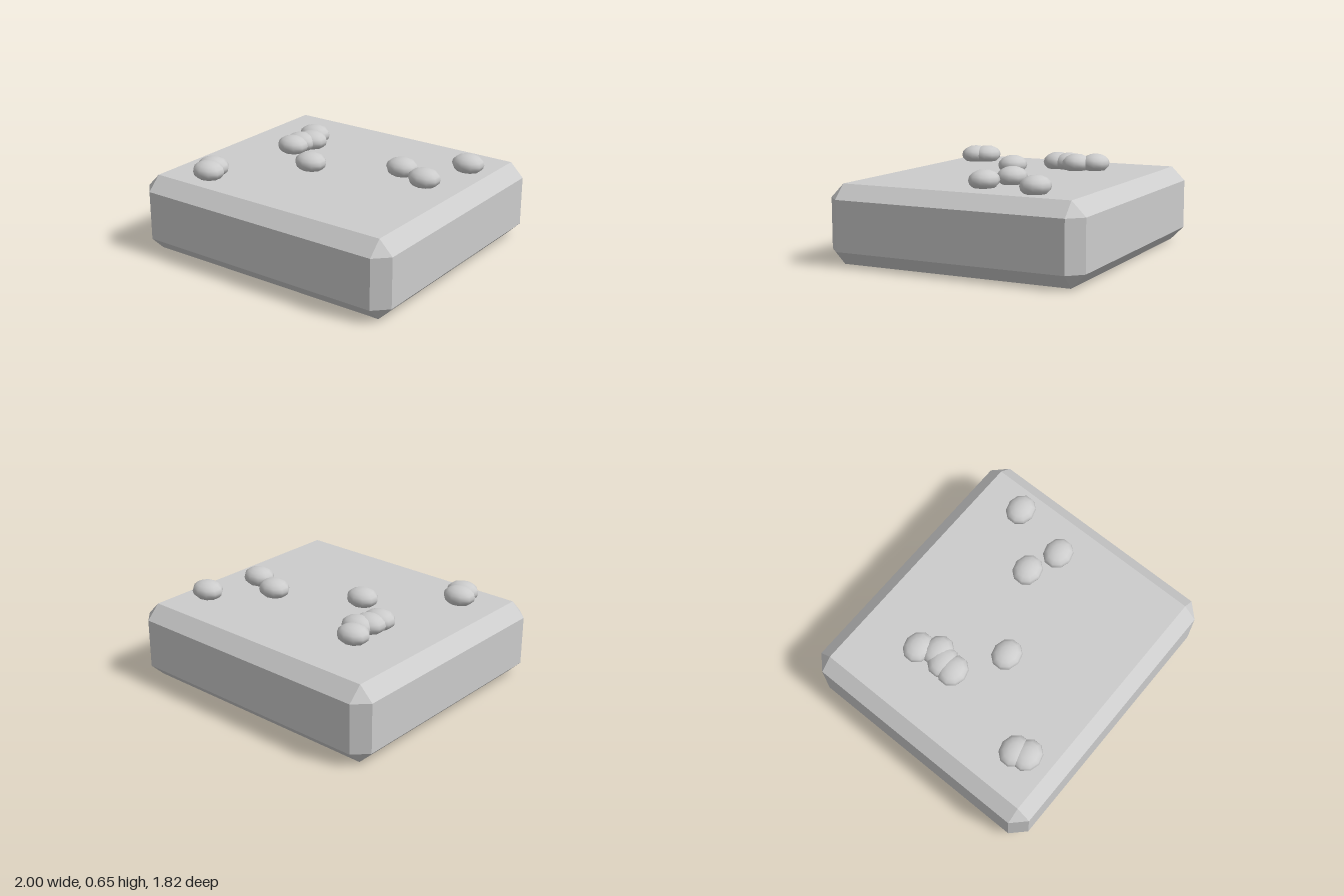
import * as THREE from 'three';
import { ConvexGeometry } from 'three/addons/geometries/ConvexGeometry.js';

// Box with every edge and corner cut at 45 degrees
function chamferedBox(hx, hy, hz, c) {
  const points = [];
  for (const sx of [-1, 1]) for (const sy of [-1, 1]) for (const sz of [-1, 1]) {
    points.push(
      new THREE.Vector3(sx * hx, sy * (hy - c), sz * (hz - c)),
      new THREE.Vector3(sx * (hx - c), sy * hy, sz * (hz - c)),
      new THREE.Vector3(sx * (hx - c), sy * (hy - c), sz * hz)
    );
  }
  return new ConvexGeometry(points);
}

export function createModel() {
  const model = new THREE.Group();
  model.name = 'studdedSlab';
  const grey = new THREE.MeshStandardMaterial({ color: 0xcccccc });
  grey.name = 'grey';

  // Slab
  const slab = new THREE.Mesh(chamferedBox(1, 0.268, 0.91, 0.096), grey);
  slab.name = 'slab';
  slab.position.y = 0.268;
  model.add(slab);

  // Flattened pebbles resting on the top face: x, z
  const pebbleGeometry = new THREE.SphereGeometry(1, 10, 8, Math.PI / 2);
  pebbleGeometry.scale(0.115, 0.068, 0.1);
  const spots = [
    [-0.485, -0.385], [-0.42, -0.265], [-0.46, -0.19], [-0.465, -0.1],
    [-0.15, 0.105], [0.415, -0.175], [0.645, -0.09], [0.74, -0.5],
    [-0.63, 0.565], [-0.6, 0.645]
  ];
  const pebbles = new THREE.Group();
  pebbles.name = 'pebbles';
  spots.forEach(([x, z], i) => {
    const pebble = new THREE.Mesh(pebbleGeometry, grey);
    pebble.name = `pebble${i + 1}`;
    pebble.position.set(x, 0.583, z);
    pebbles.add(pebble);
  });
  model.add(pebbles);

  return model;
}
